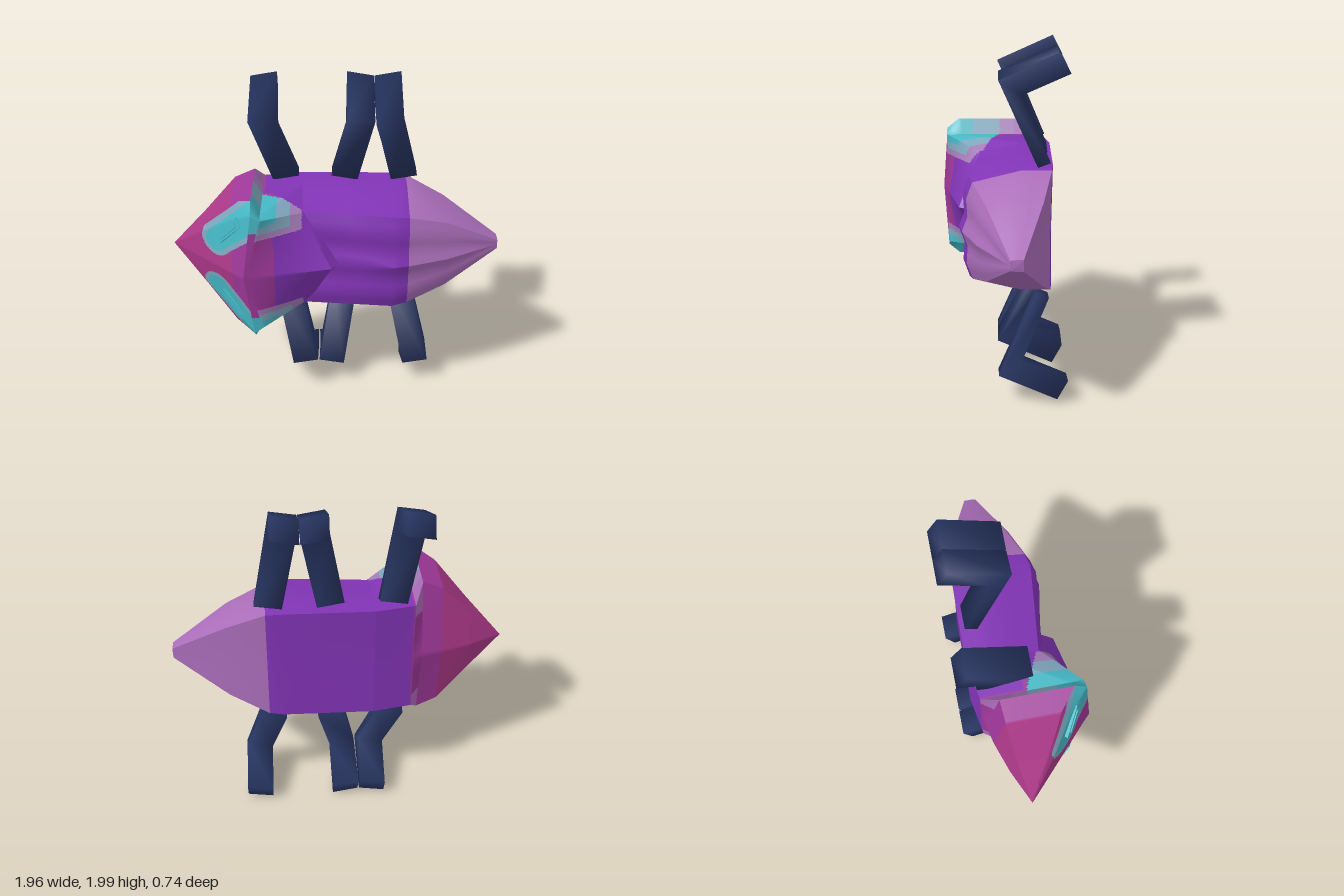
import * as THREE from 'three';
import { toCreasedNormals } from 'three/addons/utils/BufferGeometryUtils.js';

const MID = 1.005; // height of the mirror plane
const names = ['rose', 'magenta', 'purple', 'mauve', 'teal', 'greyTeal', 'duskyPink', 'navy'];
const hexes = [0xac3888, 0x9e3899, 0x8234b6, 0xab6eba, 0x45b8c5, 0x7fa6bd, 0xa57db8, 0x283562];
const mix = (a, b, t) => a.map((v, k) => v + (b[k] - v) * t);

// Half cross-section as [x, distance from mirror plane, z], from back centre round to front centre
function ring(xEdge, xFront, width, zBack, zBackEdge, zSide, shoulder, zShoulder, zFront) {
  const s = [xEdge, shoulder, zShoulder], c = [xFront, 0, zFront];
  const groove = xFront > 0 ? width / 0.36 : 0; // lengthwise ripple on the abdomen
  const p = mix(s, c, 0.34), q = mix(s, c, 0.7);
  p[2] += 0.015 * groove;
  q[2] -= 0.014 * groove;
  return [[xEdge, 0, zBack], [xEdge, width, zBackEdge], [xEdge, width, zSide], s, p, q, c];
}

// Nose, head, head rim, thorax, plate edge, abdomen, tail
const rings = [
  ring(-0.98, -0.98, 0, -0.06, -0.06, -0.06, 0, -0.06, -0.06),
  ring(-0.78, -0.76, 0.2, -0.15, -0.11, 0.07, 0.17, 0.1, 0.15),
  ring(-0.6, -0.57, 0.4, -0.21, -0.14, 0.17, 0.31, 0.23, 0.33),
  ring(-0.48, -0.53, 0.45, -0.235, -0.15, 0.27, 0.39, 0.34, 0.37),
  ring(-0.43, -0.52, 0.36, -0.25, -0.25, 0.27, 0.355, 0.335, 0.367),
  ring(-0.2, -0.03, 0.36, -0.285, -0.29, -0.12, 0.305, 0.14, 0.26),
  ring(-0.19, 0.01, 0.36, -0.285, -0.29, -0.12, 0.305, 0.13, 0.19),
  ring(0.33, 0.33, 0.36, -0.275, -0.28, -0.1, 0.3, 0.19, 0.25),
  ring(0.42, 0.42, 0.352, -0.265, -0.27, -0.1, 0.285, 0.17, 0.23),
  ring(0.65, 0.65, 0.24, -0.21, -0.215, -0.06, 0.21, 0.09, 0.15),
  ring(0.97, 0.97, 0.032, -0.1, -0.1, -0.06, 0.028, -0.03, -0.028),
  ring(0.975, 0.975, 0, -0.065, -0.065, -0.065, 0, -0.065, -0.065),
];

// Colour index for a spot on the body, given its section and strip numbers
function paint(i, j, x, dy, z) {
  if (i >= 8) return 3;
  if (i >= 5) return 2;
  const base = x < -0.6 ? 0 : x < (z > 0 ? -0.36 : -0.42) ? 1 : 2;
  if (i < 3) { // patch around the eye, on the front of the head only
    if (j < 2) return base;
    const t = Math.min(1, Math.max(0, ((x + 0.7) + (dy - 0.15)) / 0.48));
    const d = Math.hypot(x + 0.7 - 0.24 * t, dy - 0.15 - 0.24 * t);
    return d < 0.06 ? 4 : d < 0.085 ? 5 : base;
  }
  if (i === 3) { // back of the head rim
    if (dy < 0.28) return base;
    return z > 0.18 ? 4 : z > 0.01 ? 5 : z > -0.08 ? 6 : 3;
  }
  // patch on the thorax shoulder, fading backwards and towards the middle
  if (z < 0.01 + (x + 0.43) * 0.45) return base;
  const fade = Math.max((x + 0.45) / 0.25, (0.37 - dy) / 0.14);
  return fade < 0.42 ? 4 : fade < 0.74 ? 5 : fade < 1 ? 6 : base;
}

// Skin over the cross-sections, finely divided where colours change, mirrored and grouped by colour
function bodyGeometry() {
  const faces = names.map(() => []);
  const A = new THREE.Vector3(), B = new THREE.Vector3(), C = new THREE.Vector3();
  const addFace = (i, j, side, p, q, r) => {
    A.fromArray(p);
    B.fromArray(q).sub(A);
    C.fromArray(r).sub(A);
    if (B.cross(C).length() < 1e-9) return;
    const m = [0, 1, 2].map((k) => (p[k] + q[k] + r[k]) / 3);
    const corners = side > 0 ? [p, q, r] : [p, r, q];
    for (const c of corners) faces[paint(i, j, ...m)].push(c[0], MID + side * c[1], c[2]);
  };
  for (let i = 0; i < rings.length - 1; i++) {
    const n = i < 5 ? 24 : 2;
    const [near, far] = [rings[i], rings[i + 1]];
    for (let j = 0; j < 6; j++) {
      const spot = (u, v) => mix(mix(near[j], far[j], u / n), mix(near[j + 1], far[j + 1], u / n), v / n);
      for (let u = 0; u < n; u++) for (let v = 0; v < n; v++) {
        const a = spot(u, v), b = spot(u + 1, v), c = spot(u + 1, v + 1), d = spot(u, v + 1);
        for (const side of [1, -1]) {
          addFace(i, j, side, a, d, c);
          addFace(i, j, side, a, c, b);
        }
      }
    }
  }
  const g = new THREE.BufferGeometry();
  let start = 0;
  faces.forEach((f, k) => {
    if (f.length) g.addGroup(start, f.length / 3, k);
    start += f.length / 3;
  });
  g.setAttribute('position', new THREE.Float32BufferAttribute(faces.flat(), 3));
  return toCreasedNormals(g, 0.6);
}

// Bent leg: an L outline in the z-y plane, extruded along x, then leaned and tilted, with soft shading
function legGeometry(baseX, lean) {
  const outline = [[-0.19, 1.375], [0.025, 1.835], [-0.31, 1.985], [-0.37, 1.87], [-0.105, 1.755], [-0.26, 1.4]];
  const shape = new THREE.Shape(outline.map(([z, y]) => new THREE.Vector2(-z, y)));
  const g = new THREE.ExtrudeGeometry(shape, { depth: 0.155, bevelEnabled: false });
  g.translate(0, 0, -0.0775).rotateY(Math.PI / 2);
  const p = g.attributes.position;
  for (let i = 0; i < p.count; i++) {
    const x = p.getX(i), y = p.getY(i);
    const t = Math.min(1, Math.max(0, (y - 1.39) / 0.4));
    p.setXYZ(i, baseX + x + lean * t, y - Math.sign(lean) * 0.17 * x - MID, p.getZ(i));
  }
  return toCreasedNormals(g, 2);
}

export function createModel() {
  const model = new THREE.Group();
  model.name = 'beetle';
  const mats = names.map((name, k) => {
    const m = new THREE.MeshStandardMaterial({ color: hexes[k] });
    m.name = name;
    return m;
  });
  const add = (name, geo, mat, parent = model) => {
    const mesh = new THREE.Mesh(geo, mat);
    mesh.name = name;
    parent.add(mesh);
    return mesh;
  };

  add('body', bodyGeometry(), mats);

  // Three legs on each side; the lower ones are turned over
  const upper = [[-0.3, -0.12], [0.05, 0.09], [0.405, -0.105]];
  const lower = [[-0.305, 0.11], [0.055, -0.085], [0.395, 0.105]];
  const legNames = ['frontLeg', 'middleLeg', 'rearLeg'];
  [[upper, 1, 'upper'], [lower, -1, 'lower']].forEach(([set, side, label]) => {
    set.forEach(([x, lean], k) => {
      const leg = add(label + ' ' + legNames[k], legGeometry(x, lean), mats[7]);
      leg.position.y = MID;
      leg.scale.y = side;
    });
  });

  // Slanted bar eyes lying on the head
  for (const side of [1, -1]) {
    const n = new THREE.Vector3(-0.794, 0.2 * side, 1).normalize();
    const along = new THREE.Vector3(0.14, 0.155 * side, 0.08).normalize();
    const across = new THREE.Vector3().crossVectors(n, along).normalize();
    const eye = new THREE.Group();
    eye.name = 'eye';
    eye.quaternion.setFromRotationMatrix(new THREE.Matrix4().makeBasis(along, across, n));
    eye.position.set(-0.608, MID + side * 0.248, 0.236);
    add('eyeBar', new THREE.BoxGeometry(0.21, 0.06, 0.03), mats[4], eye);
    add('eyeRidge', new THREE.BoxGeometry(0.15, 0.03, 0.02), mats[4], eye).position.z = 0.012;
    model.add(eye);
  }
  return model;
}
